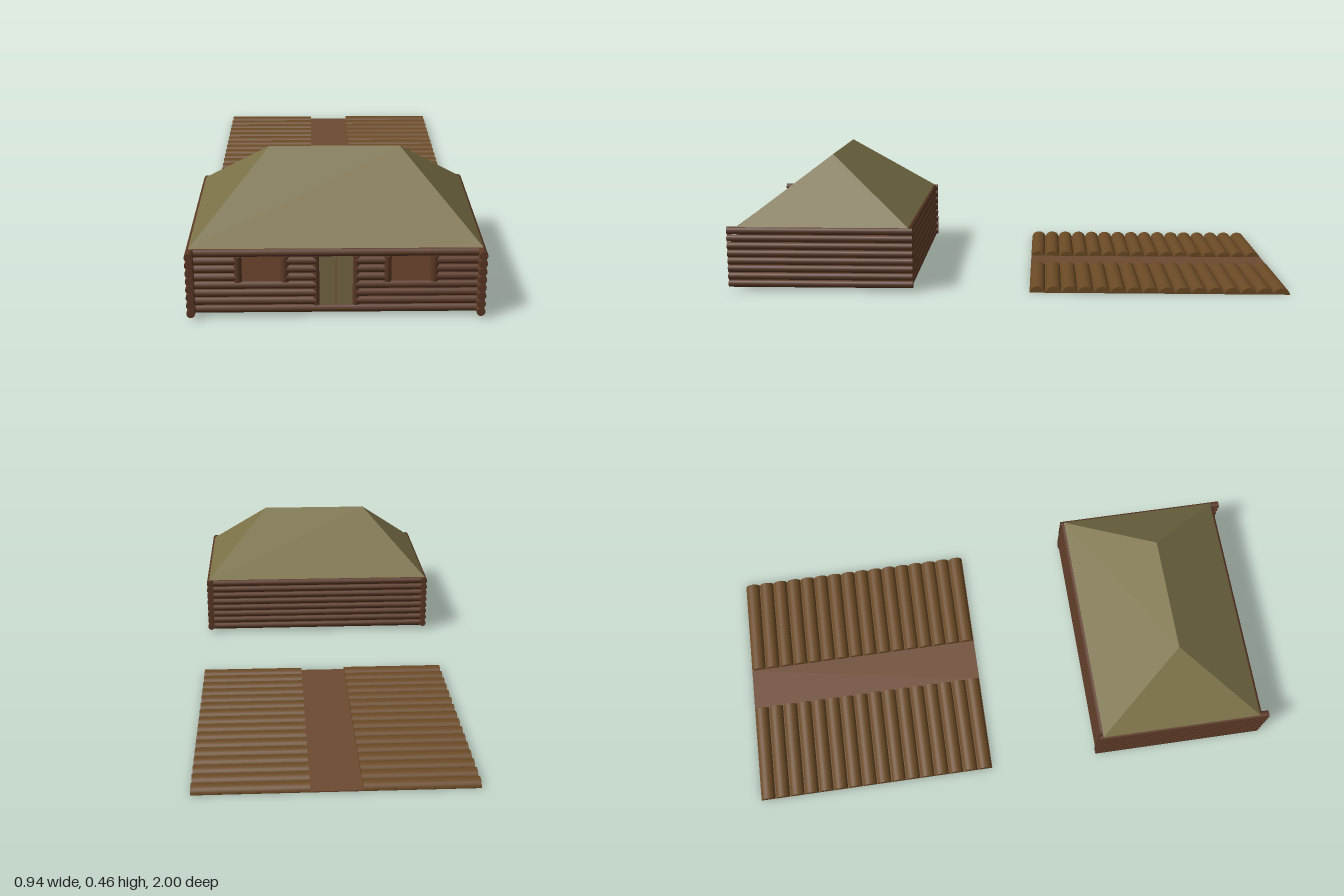
import * as THREE from 'three';

const mat = (color, opts = {}) => new THREE.MeshStandardMaterial({ color, roughness: 1, ...opts });

export function createModel() {
  const model = new THREE.Group();
  const house = new THREE.Group();
  house.name = 'house';
  const garden = new THREE.Group();
  garden.name = 'garden';
  model.add(house, garden);

  const wood = mat(0x5a3825);
  const soil = mat(0x6b4a25);
  const pathMat = mat(0x6e4a32);
  const thatch = mat(0x7b7148, { flatShading: true, side: THREE.DoubleSide });
  const doorMat = mat(0x7a6b47);

  const add = (parent, name, geometry, material, x = 0, y = 0, z = 0) => {
    const mesh = new THREE.Mesh(geometry, material);
    mesh.name = name;
    mesh.position.set(x, y, z);
    parent.add(mesh);
    return mesh;
  };

  // Log running along x, y or z
  const R = 0.0139;
  const log = (name, axis, length, x, y, z, radius = R) => {
    const g = new THREE.CylinderGeometry(radius, radius, length, 14);
    if (axis === 'x') g.rotateZ(Math.PI / 2);
    if (axis === 'z') g.rotateX(Math.PI / 2);
    add(house, name, g, wood, x, y, z);
  };

  // Log walls; front rows are split around the door and windows
  const rows = 8, pitch = 0.0276, firstY = 0.025;
  const frontZ = 0.961, backZ = 0.354, sideX = 0.455, half = 0.443;
  for (let i = 0; i < rows; i++) {
    const y = firstY + i * pitch;
    for (const s of [-1, 1]) log('sideLog', 'z', 0.662, s * sideX, y, 0.669, 0.0137);
    log('backLog', 'x', half * 2, 0, y, backZ);
    const hasDoor = i >= 1 && i <= 6;
    const hasWindow = i >= 4 && i <= 6;
    if (!hasDoor) {
      log('frontLog', 'x', half * 2, 0, y, frontZ);
      continue;
    }
    const spans = hasWindow ? [[0.063, 0.16], [0.306, half]] : [[0.063, half]];
    for (const [a, b] of spans)
      for (const s of [-1, 1]) log('frontLog', 'x', b - a, s * (a + b) / 2, y, frontZ);
  }

  // Upright posts beside the door and windows
  for (const s of [-1, 1]) {
    log('doorPost', 'y', 0.168, s * 0.063, 0.122, frontZ, 0.0115);
    for (const x of [0.16, 0.308]) log('windowPost', 'y', 0.086, s * x, 0.163, frontZ + 0.001, 0.0135);
    // Double door leaves
    add(house, 'doorLeaf', new THREE.BoxGeometry(0.053, 0.17, 0.008), doorMat, s * 0.0275, 0.122, frontZ);
  }

  // Floor
  add(house, 'floor', new THREE.BoxGeometry(0.9, 0.008, 0.6), wood, 0, 0.018, 0.658);

  // Hipped roof: eaves rectangle rising to a short ridge, closed underneath
  const ex = 0.459, z0 = 0.352, z1 = 0.965, zr = 0.659, rx = 0.215, ey = 0.231, ry = 0.46;
  const roof = new THREE.BufferGeometry();
  roof.setAttribute('position', new THREE.Float32BufferAttribute([
    -ex, ey, z1, ex, ey, z1, ex, ey, z0, -ex, ey, z0,
    -rx, ry, zr, rx, ry, zr], 3));
  roof.setIndex([
    0, 1, 5, 0, 5, 4, // front
    2, 3, 4, 2, 4, 5, // back
    1, 2, 5, 3, 0, 4, // hips
    0, 3, 2, 0, 2, 1, // ceiling
  ]);
  const roofFlat = roof.toNonIndexed();
  roofFlat.computeVertexNormals();
  add(house, 'roof', roofFlat, thatch);

  // Garden: two beds of rounded furrow ridges with a flat path between
  const gz0 = -1, gz1 = -0.078, depth = gz1 - gz0, gzc = (gz0 + gz1) / 2;
  const inner = 0.084, outer = 0.461, bedW = outer - inner, bedX = (inner + outer) / 2;
  const ridges = 16, step = depth / ridges;
  add(garden, 'path', new THREE.BoxGeometry(inner * 2, 0.004, depth), pathMat, 0, 0.002, gzc);
  const ridge = new THREE.CylinderGeometry(1, 1, bedW, 12, 1, false, 0, Math.PI);
  ridge.rotateZ(Math.PI / 2).scale(1, 0.022, step * 0.47);
  for (const s of [-1, 1]) {
    add(garden, 'bedBase', new THREE.BoxGeometry(bedW, 0.004, depth), soil, s * bedX, 0.002, gzc);
    for (let i = 0; i < ridges; i++)
      add(garden, 'bedRidge', ridge, soil, s * bedX, 0.001, gz0 + (i + 0.5) * step);
  }
  return model;
}
